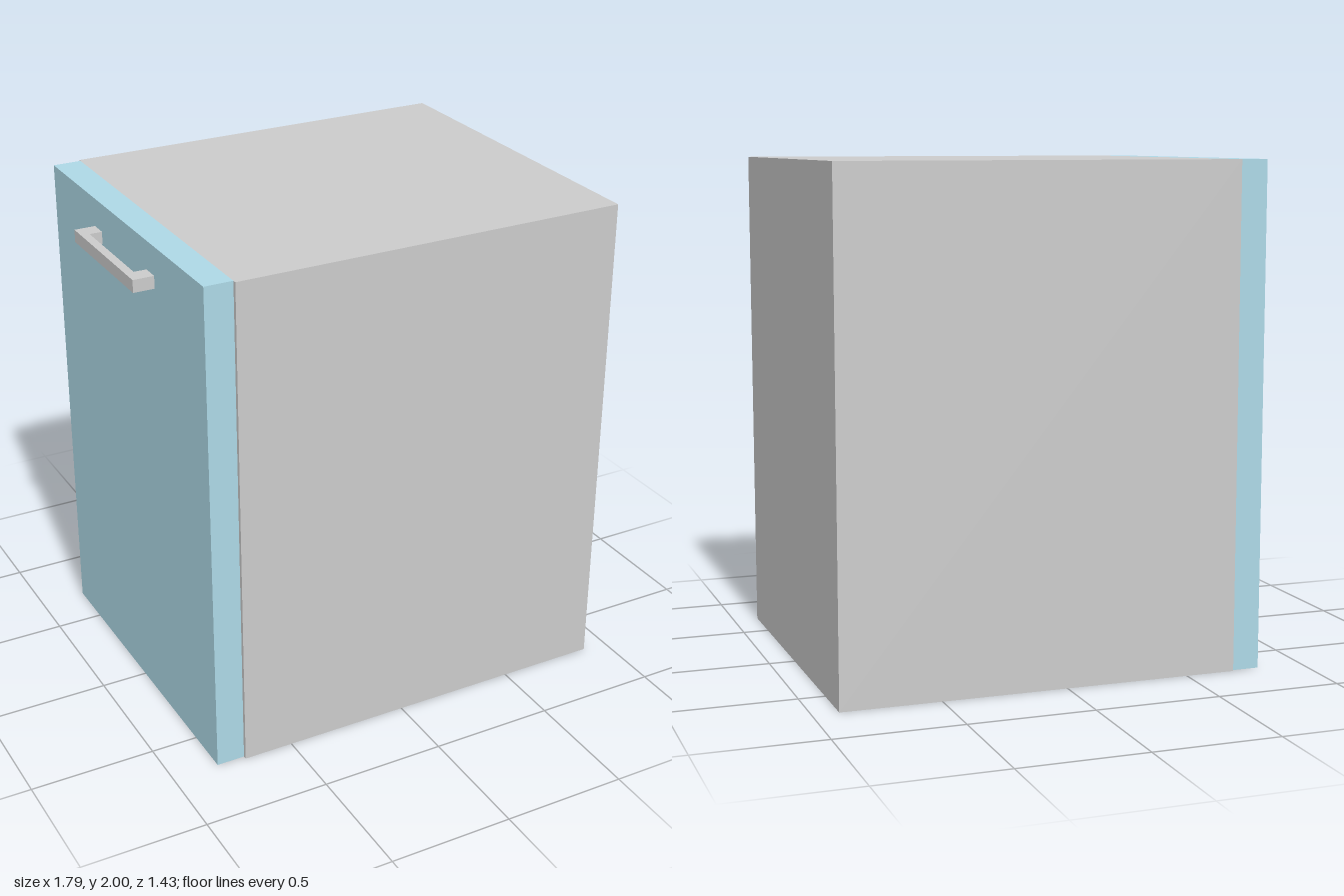
import * as THREE from 'three';

export function createModel() {
  const model = new THREE.Group();
  model.name = 'cabinet';
  const grey = new THREE.MeshStandardMaterial({ color: 0xcccccc });
  const blue = new THREE.MeshStandardMaterial({ color: 0xadd8e6 });

  // Cabinet carcass
  const body = new THREE.Mesh(new THREE.BoxGeometry(1.597, 2, 1.426), grey);
  body.name = 'cabinetBody';
  body.position.set(0.0985, 1, 0);
  model.add(body);

  // Door panel, slightly narrower than the carcass
  const door = new THREE.Mesh(new THREE.BoxGeometry(0.113, 2, 1.4), blue);
  door.name = 'door';
  door.position.set(-0.7565, 1, -0.002);
  model.add(door);

  // Bracket handle: a U outline in plan, extruded to its height
  const outer = 0.28, inner = 0.211, depth = 0.084, bar = 0.034;
  const outline = new THREE.Shape([
    [0, -outer], [depth, -outer], [depth, outer], [0, outer],
    [0, inner], [depth - bar, inner], [depth - bar, -inner], [0, -inner],
  ].map(([x, y]) => new THREE.Vector2(x, y)));
  const handleGeometry = new THREE.ExtrudeGeometry(outline, { depth: 0.05, bevelEnabled: false });
  handleGeometry.rotateX(-Math.PI / 2).rotateY(Math.PI);
  const handle = new THREE.Mesh(handleGeometry, grey);
  handle.name = 'doorHandle';
  handle.position.set(-0.813, 1.835, -0.005);
  model.add(handle);

  return model;
}
